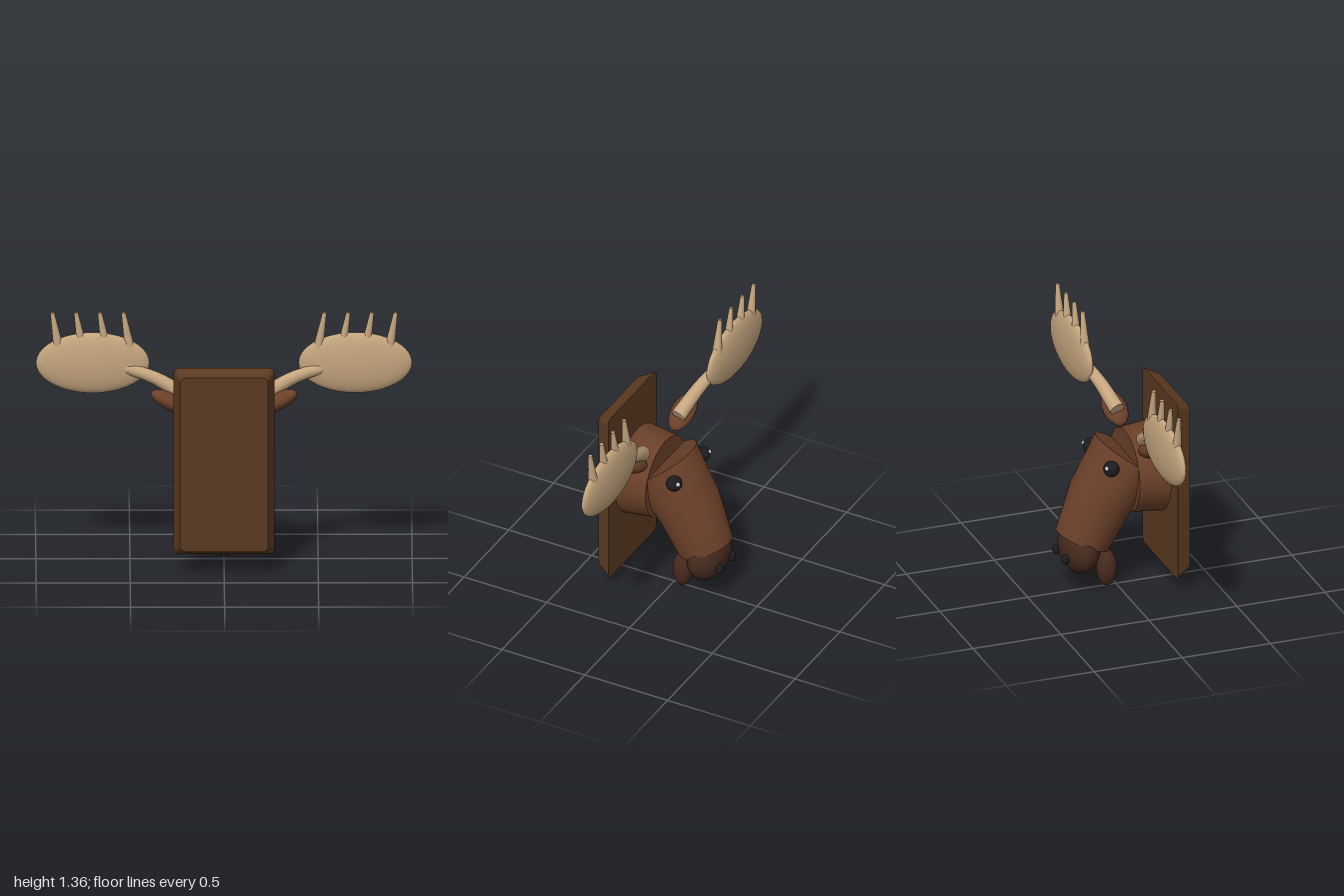
import * as THREE from 'three';

const mat = (color) => new THREE.MeshStandardMaterial({ color });
const wood = mat(0x5a3a20), fur = mat(0x6b4029), darkFur = mat(0x472a1e);
const antlerMat = mat(0xc4a57e), black = mat(0x1c1c1e), white = mat(0xffffff);

function add(parent, name, geometry, material, x = 0, y = 0, z = 0) {
  const mesh = new THREE.Mesh(geometry, material);
  mesh.name = name;
  mesh.position.set(x, y, z);
  parent.add(mesh);
  return mesh;
}

const ellipsoid = (rx, ry, rz, w = 32, h = 20) => new THREE.SphereGeometry(1, w, h).scale(rx, ry, rz);

// Rounded board whose back face is inset, giving a sloped rim
function plaqueGeometry(w, h, depth, r, inset) {
  const s = new THREE.Shape();
  s.absarc(w - r, h - r, r, 0, Math.PI / 2);
  s.absarc(r - w, h - r, r, Math.PI / 2, Math.PI);
  s.absarc(r - w, r - h, r, Math.PI, Math.PI * 1.5);
  s.absarc(w - r, r - h, r, Math.PI * 1.5, Math.PI * 2);
  const g = new THREE.ExtrudeGeometry(s, { depth, bevelEnabled: false, curveSegments: 6 });
  const p = g.attributes.position;
  for (let i = 0; i < p.count; i++) {
    if (p.getZ(i) < depth / 2) continue;
    p.setX(i, p.getX(i) - Math.sign(p.getX(i)) * inset);
    p.setY(i, p.getY(i) - Math.sign(p.getY(i)) * inset);
  }
  g.computeVertexNormals();
  return g;
}

// Bent, tapering head: three rings, each with centre, radius and backward direction
function headGeometry() {
  const rings = [
    { y: 0.752, z: 0.07, r: 0.208, by: -0.57, bz: 0.82 },
    { y: 0.522, z: -0.09, r: 0.179, by: -0.5, bz: 0.865 },
    { y: 0.294, z: -0.192, r: 0.152, by: -0.414, bz: 0.91 },
  ];
  const g = new THREE.CylinderGeometry(1, 1, 1, 40, 2);
  const p = g.attributes.position;
  for (let i = 0; i < p.count; i++) {
    const k = rings[Math.round((0.5 - p.getY(i)) * 2)];
    const back = p.getZ(i) * k.r;
    p.setXYZ(i, p.getX(i) * k.r, k.y + back * k.by, k.z + back * k.bz);
  }
  g.computeVertexNormals();
  return g;
}

// Tube along a curve, shrinking from full size to endScale, with closed ends
function beamGeometry(curve, radius, endScale) {
  const n = 20, sides = 16;
  const g = new THREE.TubeGeometry(curve, n, radius, sides);
  const p = g.attributes.position, v = new THREE.Vector3();
  for (let i = 0; i < p.count; i++) {
    const t = Math.floor(i / (sides + 1)) / n;
    const c = curve.getPointAt(t);
    v.fromBufferAttribute(p, i).sub(c).multiplyScalar(1 + (endScale - 1) * t).add(c);
    p.setXYZ(i, v.x, v.y, v.z);
  }
  return g;
}

// Antler, ear and facial details for one side (s = 1 left, -1 right)
function buildSide(s) {
  const side = new THREE.Group();
  side.name = s > 0 ? 'leftSide' : 'rightSide';

  const beam = new THREE.CatmullRomCurve3([
    new THREE.Vector3(s * 0.2, 0.92, 0.085),
    new THREE.Vector3(s * 0.37, 1.012, 0.05),
    new THREE.Vector3(s * 0.56, 1.068, 0.017),
  ]);
  add(side, 'antlerBeam', beamGeometry(beam, 0.042, 0.68), antlerMat);
  const start = add(side, 'antlerBeamEnd', new THREE.CircleGeometry(0.042, 16), antlerMat);
  start.position.copy(beam.getPointAt(0));
  start.lookAt(start.position.clone().sub(beam.getTangentAt(0)));

  add(side, 'antlerPalm', ellipsoid(0.302, 0.166, 0.046), antlerMat, s * 0.698, 1.085, 0.014);
  for (let i = 0; i < 4; i++) {
    const tine = add(side, 'antlerTine', new THREE.CylinderGeometry(0.011, 0.028, 0.21, 12),
      antlerMat, s * (0.517 + i * 0.126), 1.257, 0.014);
    tine.rotation.z = -s * 0.17;
  }

  const ear = add(side, 'ear', ellipsoid(0.12, 0.046, 0.067), fur, s * 0.28, 0.892, 0.1);
  ear.rotation.z = s * 0.46;

  add(side, 'eye', ellipsoid(0.043, 0.043, 0.043, 24, 16), black, s * 0.156, 0.755, -0.083);
  add(side, 'eyeHighlight', ellipsoid(0.012, 0.012, 0.012, 12, 8), white, s * 0.175, 0.769, -0.116);
  add(side, 'nostril', ellipsoid(0.024, 0.028, 0.024, 16, 12), black, s * 0.068, 0.224, -0.31);
  return side;
}

export function createModel() {
  const model = new THREE.Group();
  model.name = 'mountedAntleredHead';

  add(model, 'plaque', plaqueGeometry(0.268, 0.512, 0.08, 0.03, 0.034), wood, 0, 0.607, 0.253);

  // Neck tapers away from the plaque
  const neck = add(model, 'neck', new THREE.CylinderGeometry(0.248, 0.228, 0.173, 40), fur, 0, 0.6625, 0.138);
  neck.rotation.x = Math.PI / 2;

  add(model, 'head', headGeometry(), fur);
  add(model, 'muzzle', ellipsoid(0.172, 0.14, 0.102), darkFur, 0, 0.256, -0.211);
  add(model, 'dewlap', ellipsoid(0.06, 0.103, 0.055), darkFur, 0, 0.106, -0.053);

  for (const s of [1, -1]) model.add(buildSide(s));
  return model;
}
